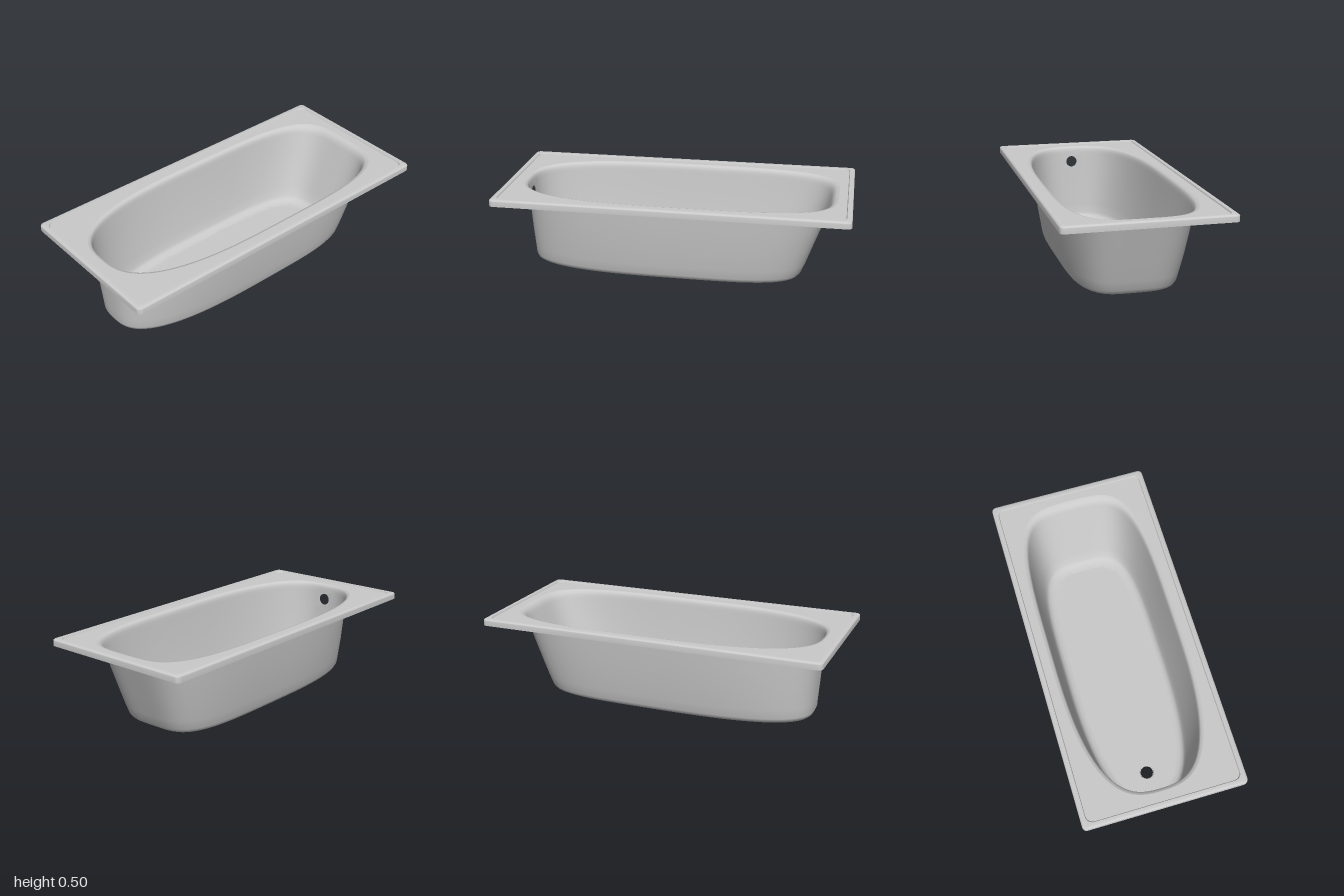
import * as THREE from 'three';
import { mergeGeometries, mergeVertices, toCreasedNormals } from 'three/addons/utils/BufferGeometryUtils.js';

const N = 96; // points around the basin
const enamel = new THREE.MeshStandardMaterial({ color: 0xcacaca, side: THREE.DoubleSide });
enamel.name = 'grey enamel';

// Basin levels from floor to deck: [y, half width, front length, back length]
const LEVELS = [
  [0.010, 0.250, 0.820, 0.670],
  [0.014, 0.272, 0.843, 0.696],
  [0.025, 0.290, 0.857, 0.717],
  [0.045, 0.302, 0.865, 0.733],
  [0.100, 0.312, 0.868, 0.755],
  [0.200, 0.330, 0.875, 0.790],
  [0.340, 0.348, 0.883, 0.840],
  [0.440, 0.358, 0.889, 0.874],
  [0.457, 0.360, 0.890, 0.881],
  [0.472, 0.363, 0.893, 0.890],
  [0.482, 0.370, 0.899, 0.902],
  [0.487, 0.385, 0.912, 0.920],
];
const HOLE_ROW = 6;              // band of the wall that holds the overflow
const HOLE_FROM = 21, HOLE_TO = 27;

// Point on an egg-like outline: rounder at the front, squarer at the back
function outlinePoint([y, a, front, back], phi) {
  const c = Math.cos(phi), s = Math.sin(phi);
  const n = s > 0 ? 2.8 : 4;
  const k = Math.pow(Math.abs(c) ** n + Math.abs(s) ** n, -1 / n);
  return new THREE.Vector3(a * c * k, y, (s > 0 ? front : back) * s * k);
}

function ringAt(level) {
  return Array.from({ length: N }, (_, i) => outlinePoint(level, (i / N) * Math.PI * 2));
}

// Skin between consecutive closed rings, leaving out cells where skip(row, i) is true
function loft(rings, skip = () => false) {
  const pts = [];
  for (let r = 0; r < rings.length - 1; r++) {
    const lo = rings[r], hi = rings[r + 1], n = lo.length;
    for (let i = 0; i < n; i++) {
      if (skip(r, i)) continue;
      const j = (i + 1) % n;
      pts.push(lo[i], lo[j], hi[i], lo[j], hi[j], hi[i]);
    }
  }
  return new THREE.BufferGeometry().setFromPoints(pts);
}

// Flat horizontal sheet bounded by a ring, with one hole
function sheet(ring, hole, y) {
  const flat = (p) => new THREE.Vector2(p.x, -p.z);
  const shape = new THREE.Shape(ring.map(flat));
  shape.holes.push(new THREE.Path(hole.map(flat)));
  return plain(new THREE.ShapeGeometry(shape).rotateX(-Math.PI / 2).translate(0, y, 0));
}

// Positions only, so that pieces can be welded together
function plain(geometry) {
  const g = geometry.toNonIndexed();
  g.deleteAttribute('normal');
  g.deleteAttribute('uv');
  return g;
}

function smooth(parts) {
  const g = mergeVertices(mergeGeometries(parts), 1e-4);
  g.computeVertexNormals();
  return g;
}

function circle(r, cz, n = 32) {
  return Array.from({ length: n }, (_, i) => {
    const t = (i / n) * Math.PI * 2;
    return new THREE.Vector3(r * Math.cos(t), 0, cz + r * Math.sin(t));
  });
}

function roundedRect(hx, hz, r, y) {
  const pts = [], steps = 6;
  for (let q = 0; q < 4; q++) {
    const cx = (q === 0 || q === 3 ? 1 : -1) * (hx - r);
    const cz = (q < 2 ? 1 : -1) * (hz - r);
    for (let i = 0; i <= steps; i++) {
      const t = (q + i / steps) * Math.PI / 2;
      pts.push(new THREE.Vector3(cx + r * Math.cos(t), y, cz + r * Math.sin(t)));
    }
  }
  return pts;
}

// Wall patch around the overflow, drawn in (angle, height) and bent onto the wall
function overflowPatch() {
  const angle = (i) => (i / N) * Math.PI * 2;
  const contour = [];
  for (let i = HOLE_FROM; i <= HOLE_TO; i++) contour.push(new THREE.Vector2(angle(i), 0));
  for (let i = HOLE_TO; i >= HOLE_FROM; i--) contour.push(new THREE.Vector2(angle(i), 1));
  const shape = new THREE.Shape(contour);
  const r = 0.0345;
  shape.holes.push(new THREE.Path(circle(r, 0).map(
    (p) => new THREE.Vector2(Math.PI / 2 + p.x / 0.353, 0.5 + p.z / 0.1))));
  const g = plain(new THREE.ShapeGeometry(shape));
  const pos = g.attributes.position;
  const lo = LEVELS[HOLE_ROW], hi = LEVELS[HOLE_ROW + 1];
  for (let i = 0; i < pos.count; i++) {
    const t = pos.getY(i);
    const p = outlinePoint(lo.map((v, k) => v + (hi[k] - v) * t), pos.getX(i));
    pos.setXYZ(i, p.x, p.y, p.z);
  }
  return g;
}

export function createModel() {
  const tub = new THREE.Group();
  tub.name = 'bathtub';
  const add = (name, geometry) => {
    const mesh = new THREE.Mesh(geometry, enamel);
    mesh.name = name;
    tub.add(mesh);
    return mesh;
  };

  // Basin: wall, overflow opening and floor welded into one smooth skin
  const rings = LEVELS.map(ringAt);
  const wall = loft(rings, (r, i) => r === HOLE_ROW && i >= HOLE_FROM && i < HOLE_TO);
  const drainZ = 0.685;
  const floor = sheet(rings[0], circle(0.042, drainZ), LEVELS[0][0]);
  add('basin', smooth([wall, overflowPatch(), floor]));

  // Flat deck around the opening
  const deck = sheet(roundedRect(0.432, 0.967, 0.04, 0), rings[rings.length - 1], 0.487);
  deck.computeVertexNormals();
  add('deck', deck);

  // Raised rim with a rounded edge and a skirt that is open below
  const rim = loft([
    [0.432, 0.967, 0.040, 0.487],
    [0.436, 0.971, 0.040, 0.495],
    [0.455, 0.990, 0.020, 0.495],
    [0.460, 0.995, 0.022, 0.4935],
    [0.4637, 0.9987, 0.024, 0.490],
    [0.465, 1.000, 0.025, 0.485],
    [0.465, 1.000, 0.025, 0.457],
  ].map((p) => roundedRect(...p)));
  add('rim', toCreasedNormals(rim, 0.7));

  // Drain collar below the floor
  const collar = new THREE.LatheGeometry(
    [[0.036, 0], [0.039, 0.002], [0.042, 0.010]].map((p) => new THREE.Vector2(...p)), 32);
  add('drainCollar', collar).position.z = drainZ;

  return tub;
}
